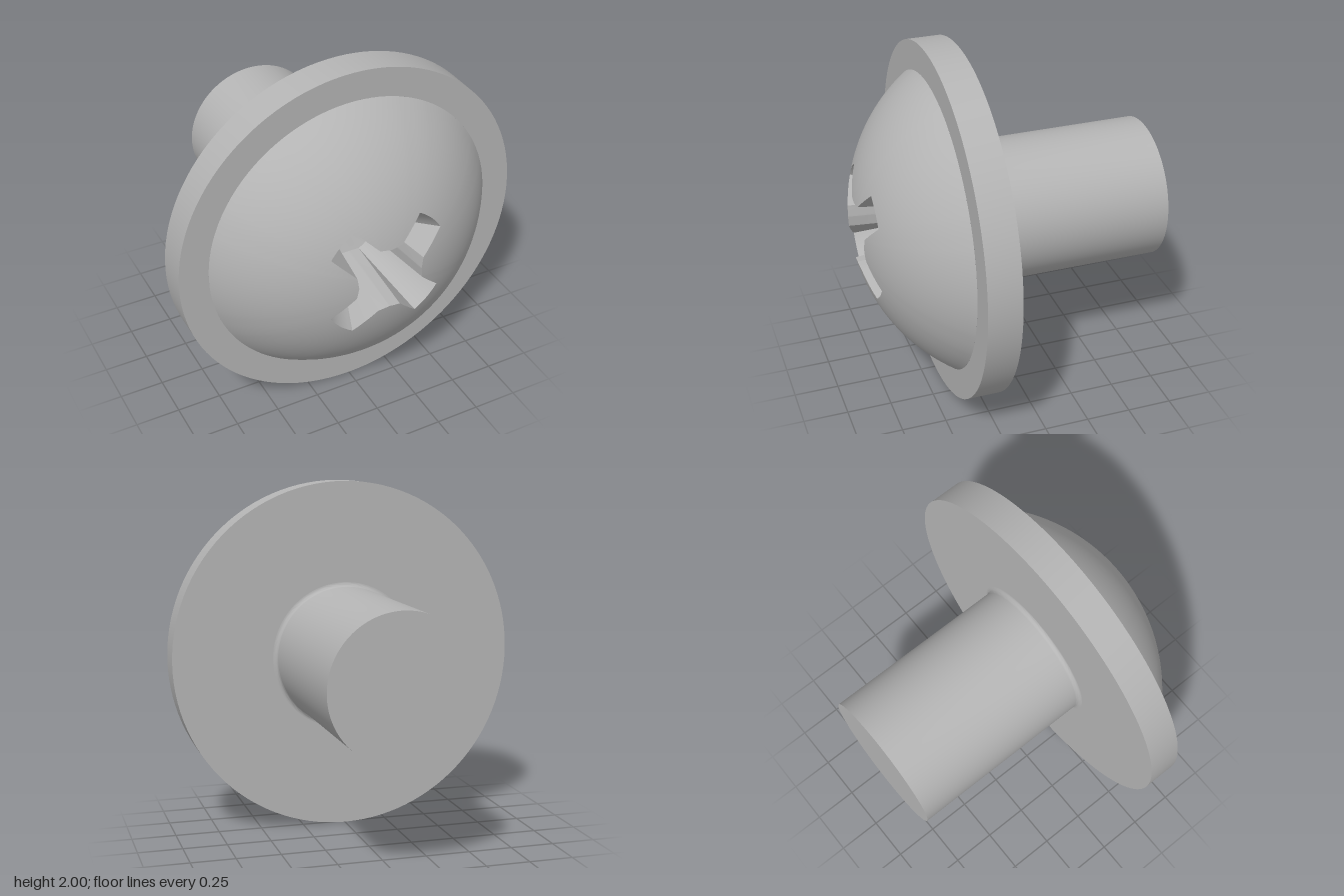
import * as THREE from 'three';
import { toCreasedNormals } from 'three/addons/utils/BufferGeometryUtils.js';

const DOME_R = 1.015, DOME_APEX = 0.853, DOME_EDGE = 0.835;
const TIP_R = 0.372, FLOOR_R = 0.147, FLOOR_Z = 0.385;

// height of the spherical dome at a distance r from the axis
const domeZ = (r) => DOME_APEX - DOME_R + Math.sqrt(DOME_R * DOME_R - r * r);

// closed skin over rings of [x, y, z] points, listed from inside to outside
function skin(rings) {
  const n = rings[0].length, index = [];
  for (let i = 0; i < rings.length - 1; i++) {
    for (let j = 0; j < n; j++) {
      const a = i * n + j, b = i * n + (j + 1) % n;
      index.push(a, a + n, b, b, a + n, b + n);
    }
  }
  const geo = new THREE.BufferGeometry();
  geo.setAttribute('position', new THREE.Float32BufferAttribute(rings.flat(2), 3));
  geo.setIndex(index);
  geo.computeVertexNormals();
  return geo;
}

// four-winged outline: an arc at each wing tip and straight flanks to a shallow notch
function crossOutline(tip, shoulder, notch) {
  const tipR = Math.hypot(...tip), tipA = Math.atan2(tip[1], tip[0]);
  const mirror = ([x, y]) => [-x, y];
  const corners = [tip, shoulder, notch, mirror(shoulder), mirror(tip)];
  const steps = [4, 6, 6, 4], quarter = [];
  for (let i = 0; i < 8; i++) {
    const a = Math.PI / 2 - tipA + (2 * tipA - Math.PI / 2) * (i / 8);
    quarter.push([tipR * Math.cos(a), tipR * Math.sin(a)]);
  }
  steps.forEach((count, k) => {
    const [p, q] = [corners[k], corners[k + 1]];
    for (let i = 0; i < count; i++) {
      const t = i / count;
      quarter.push([p[0] + (q[0] - p[0]) * t, p[1] + (q[1] - p[1]) * t]);
    }
  });
  const outline = [];
  for (let k = 0; k < 4; k++) {
    const c = Math.round(Math.cos(k * Math.PI / 2)), s = Math.round(Math.sin(k * Math.PI / 2));
    for (const [x, y] of quarter) outline.push([c * x - s * y, s * x + c * y]);
  }
  return outline;
}

// profile of [radius, z] turned about the z axis
function turned(profile) {
  const geo = new THREE.LatheGeometry(profile.map(([r, z]) => new THREE.Vector2(r, z)), 112);
  geo.rotateX(Math.PI / 2);
  return toCreasedNormals(geo, 0.6);
}

export function createModel() {
  const steel = new THREE.MeshStandardMaterial({ color: 0xb4b4b4 });
  steel.name = 'grey steel';
  const model = new THREE.Group();
  model.name = 'screw';
  const add = (name, geo) => {
    const mesh = new THREE.Mesh(geo, steel);
    mesh.name = name;
    mesh.position.y = 1;
    model.add(mesh);
  };

  // shaft with a small fillet under the flange
  const shaft = [[0, -0.84], [0.4, -0.84]];
  for (let i = 0; i <= 6; i++) {
    const a = (i / 6) * Math.PI / 2;
    shaft.push([0.425 - 0.025 * Math.cos(a), 0.205 + 0.025 * Math.sin(a)]);
  }
  add('shaft', turned(shaft));

  // flat washer-like flange
  add('flange', turned([[0.425, 0.23], [1, 0.23], [1, 0.415], [DOME_EDGE, 0.415]]));

  // domed head, left open where the recess cuts in
  const tip = [0.19, Math.sqrt(TIP_R ** 2 - 0.19 ** 2)];
  const mouth = crossOutline(tip, [0.065, 0.195], [0, 0.185]);
  const domeRings = [];
  for (let i = 0; i <= 24; i++) {
    domeRings.push(mouth.map(([x, y]) => {
      const r0 = Math.hypot(x, y), r = r0 + (DOME_EDGE - r0) * (i / 24);
      return [x * r / r0, y * r / r0, domeZ(r)];
    }));
  }
  add('domedHead', skin(domeRings));

  // cross recess: sloping wing floors, side walls and a shallow conical bottom
  const foot = [0.063, Math.sqrt(FLOOR_R ** 2 - 0.063 ** 2)];
  const bottom = crossOutline(foot, foot, [0, 0.132]);
  const recess = skin([
    bottom.map(() => [0, 0, FLOOR_Z - 0.06]),
    bottom.map(([x, y]) => [x, y, FLOOR_Z]),
    mouth.map(([x, y]) => [x, y, domeZ(Math.hypot(x, y))]),
  ]);
  add('crossRecess', toCreasedNormals(recess, 0.25));

  return model;
}
